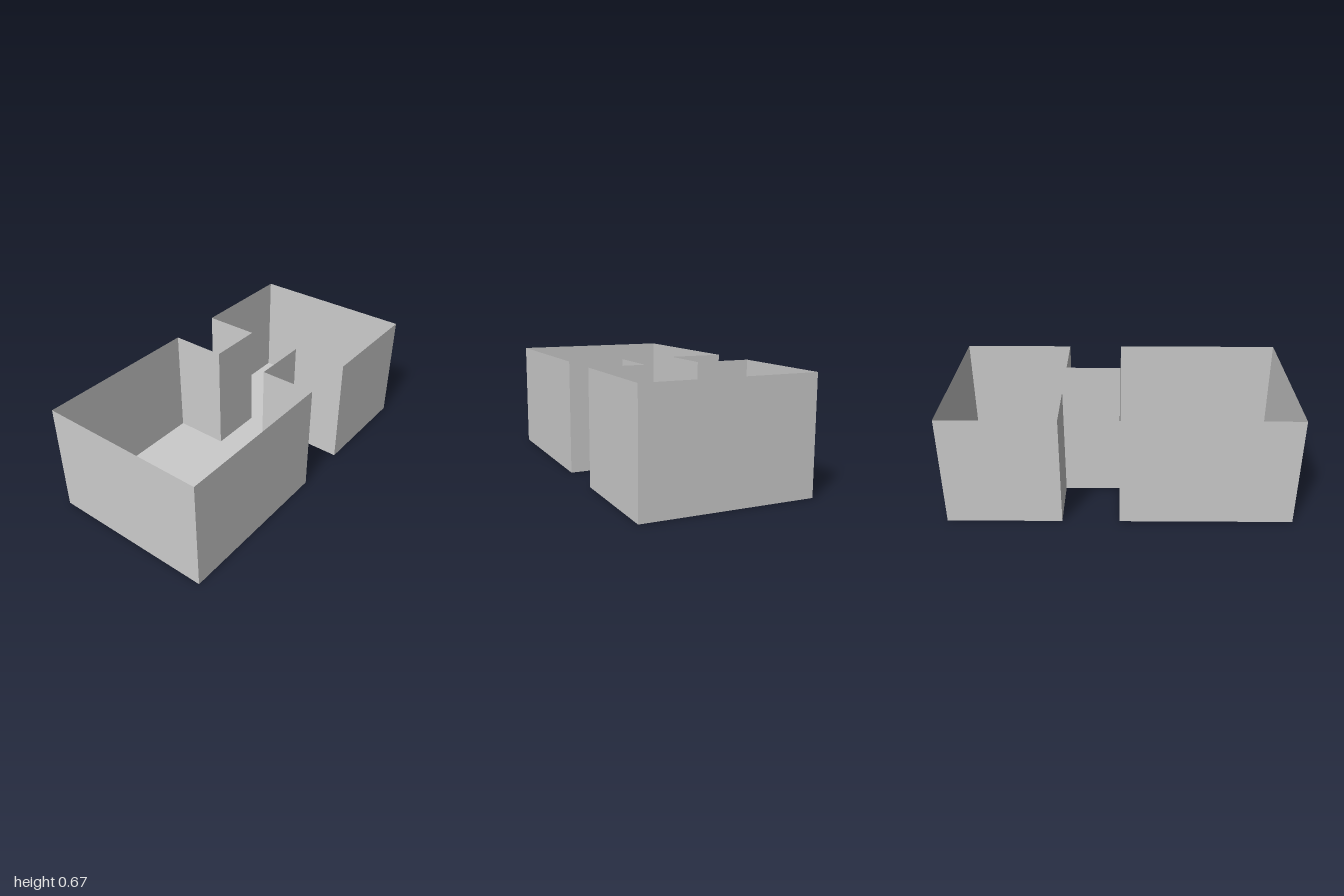
import * as THREE from 'three';

const HEIGHT = 0.667;

export function createModel() {
  const model = new THREE.Group();
  model.name = 'openRooms';
  const material = new THREE.MeshStandardMaterial({
    color: 0xcccccc, flatShading: true, side: THREE.DoubleSide,
  });

  // Plan outline as [x, z]: the right half front to back, then its mirror image
  const half = [[0.5, 1], [0.5, 0], [0.167, 0], [0.167, -0.333], [0.5, -0.333], [0.5, -1]];
  const mirrored = half.map(([x, z]) => [-x, z]).reverse();
  const outline = [...half, ...mirrored].map(([x, z]) => new THREE.Vector2(x, z));

  // Floor covering both rooms and the passage
  const floor = new THREE.Mesh(new THREE.ShapeGeometry(new THREE.Shape(outline)), material);
  floor.geometry.rotateX(Math.PI / 2);
  floor.name = 'floor';
  model.add(floor);

  // One thin wall standing on each edge of the outline, facing outward
  const walls = new THREE.Group();
  walls.name = 'walls';
  outline.forEach((a, i) => {
    const b = outline[(i + 1) % outline.length];
    const wall = new THREE.Mesh(new THREE.PlaneGeometry(a.distanceTo(b), HEIGHT), material);
    wall.position.set((a.x + b.x) / 2, HEIGHT / 2, (a.y + b.y) / 2);
    wall.rotation.y = Math.atan2(a.y - b.y, b.x - a.x);
    wall.name = `wall${i + 1}`;
    walls.add(wall);
  });
  model.add(walls);

  return model;
}
